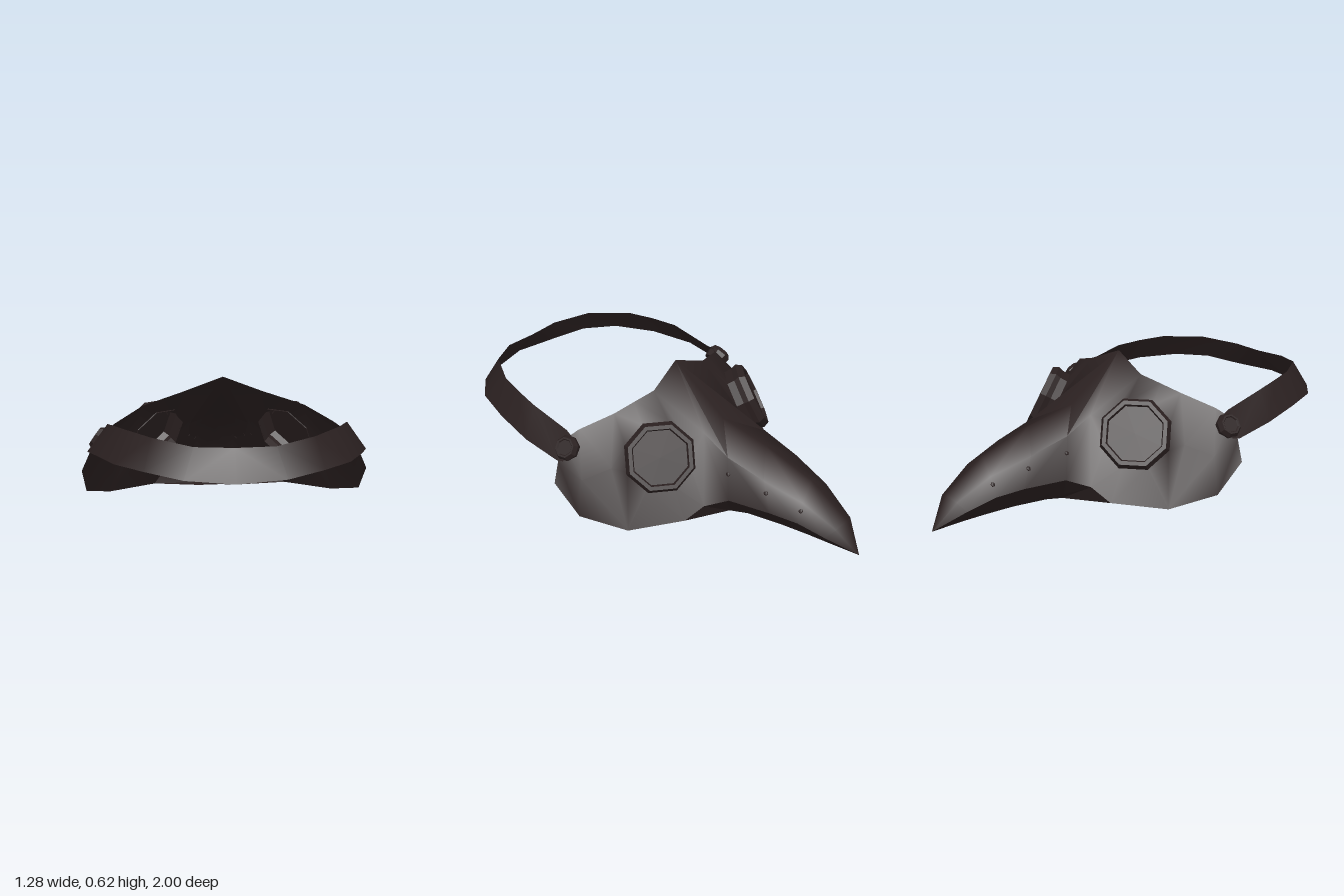
import * as THREE from 'three';
import { toCreasedNormals } from 'three/addons/utils/BufferGeometryUtils.js';

const leather = new THREE.MeshStandardMaterial({ color: 0x2a2020, side: THREE.DoubleSide });
leather.name = 'dark leather';

// Triangles of the band between two rows of points
function strip(a, b, closed = false) {
  const tris = [];
  const n = a.length;
  for (let i = 0; i < (closed ? n : n - 1); i++) {
    const j = (i + 1) % n;
    tris.push([a[i], b[i], b[j]], [a[i], b[j], a[j]]);
  }
  return tris;
}

// Left half plus its mirror image, smooth except at sharp edges
function symmetricGeometry(tris, crease) {
  const pos = [];
  for (const [a, b, c] of tris) {
    const area = new THREE.Triangle(new THREE.Vector3(...a), new THREE.Vector3(...b), new THREE.Vector3(...c)).getArea();
    if (area < 1e-7) continue;
    pos.push(...a, ...b, ...c);
    for (const p of [a, c, b]) pos.push(-p[0], p[1], p[2]);
  }
  const geo = new THREE.BufferGeometry();
  geo.setAttribute('position', new THREE.Float32BufferAttribute(pos, 3));
  return toCreasedNormals(geo, crease);
}

// Axes of a round part: n outward, r sideways, u upward
function axes(normal) {
  const n = new THREE.Vector3(...normal).normalize();
  const r = new THREE.Vector3(-n.z, 0, n.x).normalize();
  return { n, r, u: new THREE.Vector3().crossVectors(r, n) };
}

// Turned part whose axis points along a direction; flat facets
function turned(profile, center, { n, r, u }, sides = 8) {
  const pts = profile.map(([x, y]) => new THREE.Vector2(x, y));
  const geo = new THREE.LatheGeometry(pts, sides, Math.PI / sides).toNonIndexed();
  geo.applyMatrix4(new THREE.Matrix4().makeBasis(r, n, u).setPosition(...center));
  geo.computeVertexNormals();
  return geo;
}

// Mirror image in x, with the corner order reversed to keep faces outward
function mirrored(geo) {
  const source = geo.attributes.position;
  const pos = [];
  for (let i = 0; i < source.count; i += 3) {
    for (const k of [i, i + 2, i + 1]) pos.push(-source.getX(k), source.getY(k), source.getZ(k));
  }
  const copy = new THREE.BufferGeometry();
  copy.setAttribute('position', new THREE.Float32BufferAttribute(pos, 3));
  copy.computeVertexNormals();
  return copy;
}

export function createModel() {
  const model = new THREE.Group();
  const add = (geo, name) => {
    const mesh = new THREE.Mesh(geo, leather);
    mesh.name = name;
    model.add(mesh);
  };
  const addPair = (geo, name) => {
    add(geo, 'left ' + name);
    add(mirrored(geo), 'right ' + name);
  };

  // Rows of the mask from the temple to the beak tip
  const tip = [0, 0, -1];
  const upper = [[0.55, 0.40, 0.19], [0.49, 0.44, 0.15], [0.37, 0.5, 0.05], [0.18, 0.555, -0.02], [0, 0.625, 0],
    [0, 0.42, -0.27], [0, 0.365, -0.5], [0, 0.28, -0.74], [0, 0.15, -0.93], tip];
  const middle = [[0.60, 0.32, 0.18], [0.595, 0.27, 0.05], [0.49, 0.31, -0.03], null, [0.13, 0.4, -0.26],
    [0.145, 0.335, -0.4], [0.13, 0.28, -0.58], [0.095, 0.22, -0.76], [0.06, 0.125, -0.91], tip];
  const lower = [[0.64, 0.23, 0.17], [0.63, 0.105, 0.04], [0.53, 0.055, -0.15], [0.32, 0.055, -0.3], [0.26, 0.125, -0.36],
    [0.2, 0.16, -0.45], [0.165, 0.155, -0.64], [0.13, 0.135, -0.76], [0.095, 0.09, -0.88], tip];

  // Eyepieces: octagonal frame with a large, shallow lens
  const eyeCenter = [0.305, 0.325, -0.14];
  const eyeAxes = axes([0.6, 0.43, -0.66]);
  const eyeRadius = 0.152;
  const eye = turned([[eyeRadius, -0.005], [0.155, 0.035], [0.164, 0.06], [0.15, 0.088], [0.132, 0.088], [0.126, 0.075], [0, 0.075]],
    eyeCenter, eyeAxes);

  // Octagonal eye opening in the shell
  const opening = [];
  for (let i = 0; i < 8; i++) {
    const a = (i - 0.5) * Math.PI / 4;
    opening.push(new THREE.Vector3(...eyeCenter).addScaledVector(eyeAxes.r, eyeRadius * Math.cos(a))
      .addScaledVector(eyeAxes.u, eyeRadius * Math.sin(a)).toArray());
  }
  const around = [middle[2], upper[2], [0.275, 0.528, 0.015], upper[3], middle[4], lower[4], lower[3], lower[2]];
  add(symmetricGeometry([
    ...strip(upper.slice(0, 3), middle.slice(0, 3)), ...strip(middle.slice(0, 3), lower.slice(0, 3)),
    ...strip(around, opening, true), [upper[3], middle[4], upper[4]],
    ...strip(upper.slice(4), middle.slice(4)), ...strip(middle.slice(4), lower.slice(4)),
  ], 1.2), 'mask shell');
  addPair(eye, 'eyepiece');

  // Underside of the beak
  const inner = [[0.1, 0.03, -0.36], [0.1, 0.035, -0.4], [0.09, 0.045, -0.48], [0.07, 0.045, -0.64],
    [0.05, 0.035, -0.77], [0.035, 0.025, -0.88], tip];
  const keel = [[0, 0.03, -0.37], [0, 0.03, -0.42], [0, 0.035, -0.5], [0, 0.04, -0.65],
    [0, 0.03, -0.78], [0, 0.015, -0.89], tip];
  add(symmetricGeometry([...strip(lower.slice(3), inner), ...strip(inner, keel)], 0.75), 'beak underside');

  // Head strap, leaning inward at the top
  const strapTop = [[0.53, 0.415, 0.15], [0.515, 0.43, 0.2], [0.51, 0.485, 0.4], [0.48, 0.5, 0.52], [0.44, 0.51, 0.64],
    [0.32, 0.505, 0.81], [0.16, 0.485, 0.9], [0, 0.48, 0.9]];
  const strapBottom = [[0.6, 0.33, 0.15], [0.598, 0.32, 0.19], [0.6, 0.36, 0.37], [0.55, 0.385, 0.57], [0.47, 0.39, 0.76],
    [0.35, 0.385, 0.88], [0.2, 0.365, 0.95], [0, 0.36, 1]];
  add(symmetricGeometry(strip(strapBottom, strapTop), 0.75), 'head strap');

  // Studs joining strap and mask
  const sideAxes = axes([0.8, 0.55, -0.1]);
  const stud = turned([[0, -0.03], [0.052, -0.03], [0.058, 0.015], [0.046, 0.035], [0.038, 0.035], [0.034, 0.03], [0, 0.03]],
    [0.55, 0.368, 0.163], sideAxes);
  addPair(stud, 'strap stud');

  // Small flat rivets along the sides of the beak
  for (const i of [5, 6, 7]) {
    const spot = new THREE.Vector3(...middle[i]).lerp(new THREE.Vector3(...lower[i]), 0.38);
    addPair(turned([[0.011, 0], [0.008, 0.003], [0, 0.004]], spot.toArray(), sideAxes, 6), 'beak rivet');
  }
  return model;
}
